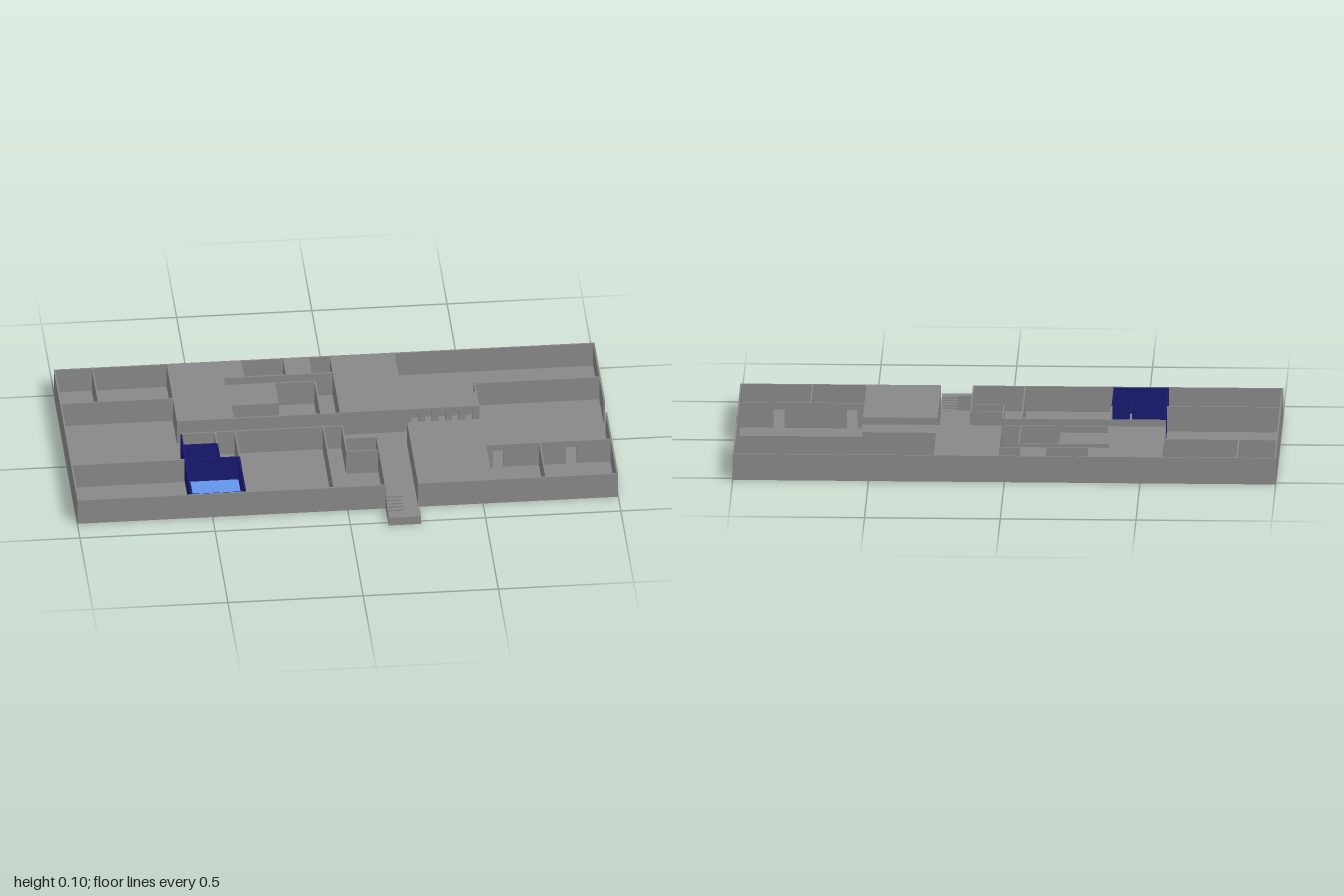
import * as THREE from 'three';

const H = 0.1, T = 0.006, FLOOR = 0.004, DOOR = 0.075;
const GREY = 0x888888, POOL = 0x6495ed, NAVY = 0x191970;

export function createModel() {
  const model = new THREE.Group();
  const materials = {};
  const material = (color) => (materials[color] ??= new THREE.MeshStandardMaterial({ color }));

  const add = (name, geometry, color = GREY) => {
    const mesh = new THREE.Mesh(geometry, material(color));
    mesh.name = name;
    model.add(mesh);
    return mesh;
  };
  const box = (name, x0, x1, y0, y1, z0, z1, color) =>
    add(name, new THREE.BoxGeometry(x1 - x0, y1 - y0, z1 - z0), color)
      .position.set((x0 + x1) / 2, (y0 + y1) / 2, (z0 + z1) / 2);
  // Walls along x or along z, centred on their line
  const wallX = (name, z, x0, x1, color) => box(name, x0, x1, 0, H, z - T / 2, z + T / 2, color);
  const wallZ = (name, x, z0, z1, color) => box(name, x - T / 2, x + T / 2, 0, H, z0, z1, color);
  // Horizontal slab from an outline of [x, z] points, with its upper face at top
  const points = (list) => list.map(([x, z]) => new THREE.Vector2(x, z));
  const rect = (x0, x1, z0, z1) => [[x0, z0], [x1, z0], [x1, z1], [x0, z1]];
  const slab = (name, outline, top, holes = [], color = GREY) => {
    const shape = new THREE.Shape(points(outline));
    for (const hole of holes) shape.holes.push(new THREE.Path(points(hole)));
    const geometry = new THREE.ExtrudeGeometry(shape, { depth: FLOOR - 0.001, bevelEnabled: false });
    add(name, geometry.rotateX(Math.PI / 2).translate(0, top, 0), color);
  };

  // Roofed areas that are hollow and open underneath
  const westBlock = [[-0.58, -0.516], [-0.31, -0.516], [-0.31, -0.403], [-0.385, -0.403], [-0.385, -0.35],
    [-0.2, -0.35], [-0.2, -0.21], [-0.375, -0.21], [-0.375, -0.12], [-0.58, -0.12]];
  const shaft = rect(-0.15, -0.06, -0.516, -0.403);
  const poolHall = [[-0.575, -0.03], [-0.45, -0.03], [-0.45, 0.15], [-0.38, 0.15], [-0.38, 0.395], [-0.575, 0.395]];

  slab('floor', rect(-1, 1, -0.52, 0.4), FLOOR, [westBlock, shaft, poolHall]);
  slab('westRoof', westBlock, H);
  slab('shaftRoof', shaft, H);

  // Two pool basins and the low ledge behind them
  slab('largePool', rect(-0.575, -0.38, 0.15, 0.395), FLOOR, [], POOL);
  slab('smallPool', rect(-0.575, -0.45, 0.05, 0.15), FLOOR, [], POOL);
  slab('poolLedge', rect(-0.575, -0.45, -0.03, 0.05), 0.05);

  // Pool walls
  wallZ('poolWall', -0.576, -0.027, 0.396, NAVY);
  wallZ('poolWall', -0.378, 0.15, 0.396, NAVY);
  wallZ('poolWall', -0.45, 0.05, 0.15, NAVY);
  wallX('poolWall', 0.15, -0.576, -0.378, NAVY);
  wallX('poolWall', 0.05, -0.576, -0.45, NAVY);
  box('poolWall', -0.576, -0.378, FLOOR, H - 0.0005, 0.391, 0.395, NAVY);

  // Outer walls, open at the entrance and at the side door
  wallX('backWall', -0.517, -1, 1);
  wallX('frontWall', 0.397, -1, 0.14);
  wallX('frontWall', 0.397, 0.26, 1);
  wallZ('westWall', -0.997, -0.52, 0.4);
  wallZ('eastWall', 0.997, -0.52, -0.115);
  wallZ('eastWall', 0.997, -0.03, 0.4);

  // Inner walls along x: z, x0, x1
  for (const [z, x0, x1] of [
    [-0.28, -1, -0.58], [0.15, -1, -0.58], [-0.28, 0.53, 1],
    [-0.12, -0.58, 0.02], [-0.03, -0.58, 0.02],
    [-0.403, -0.385, 0.02], [-0.35, -0.385, -0.05], [-0.21, -0.375, -0.2],
    [0.06, 0.02, 0.14], [0.15, 0.02, 0.135], [-0.22, 0.26, 0.535],
  ]) wallX('innerWall', z, x0, x1);

  // Inner walls along z: x, z0, z1
  for (const [x, z0, z1] of [
    [-0.857, -0.52, -0.28], [-0.58, -0.52, -0.12],
    [-0.31, -0.52, -0.403], [-0.15, -0.52, -0.403], [-0.06, -0.52, -0.403],
    [-0.385, -0.403, -0.35], [-0.2, -0.35, -0.21], [-0.375, -0.21, -0.12], [-0.05, -0.35, -0.12],
    [-0.45, -0.03, 0.05], [-0.376, -0.03, 0.15], [-0.05, -0.03, 0.4],
    [0.02, -0.03, 0.15], [0.14, 0.06, 0.4],
    [0.533, -0.28, -0.12], [0.733, 0.155, 0.4],
  ]) wallZ('innerWall', x, z0, z1);

  // Wall with two doorways under a continuous lintel
  const doorWall = [0.152, 0.158];
  for (const [x0, x1] of [[0.535, 0.56], [0.6, 0.83], [0.87, 1]])
    box('doorWall', x0, x1, 0, DOOR, ...doorWall);
  box('doorLintel', 0.535, 1, DOOR, H, ...doorWall);

  // Raised solid blocks
  box('backBlock', 0.02, 0.26, 0, H, -0.52, -0.12);
  box('frontBlock', 0.26, 0.535, 0, H, -0.03, 0.4);

  // Roofed gallery with a row of openings onto the corridor
  slab('galleryRoof', rect(0.26, 0.535, -0.22, -0.12), H);
  box('galleryLintel', 0.26, 0.535, 0.085, H, -0.12 - T, -0.12);
  for (let i = 0; i < 6; i++) {
    const x = 0.26 + i * 0.05;
    box('galleryPost', x, x + 0.024, 0, 0.085, -0.12 - T, -0.12);
  }

  // Entrance landing with solid flights up and down side by side
  box('landing', 0.14, 0.26, 0, 0.033, 0.475, 0.52);
  const steps = 5, run = 0.075 / steps;
  for (let i = 0; i < steps; i++) {
    const z1 = 0.475 - i * run;
    box('upperStep', 0.14, 0.2, 0, 0.038 + i * 0.0055, z1 - run, z1);
    box('lowerStep', 0.2, 0.26, 0, 0.027 - i * 0.0055, z1 - run, z1);
  }
  return model;
}
